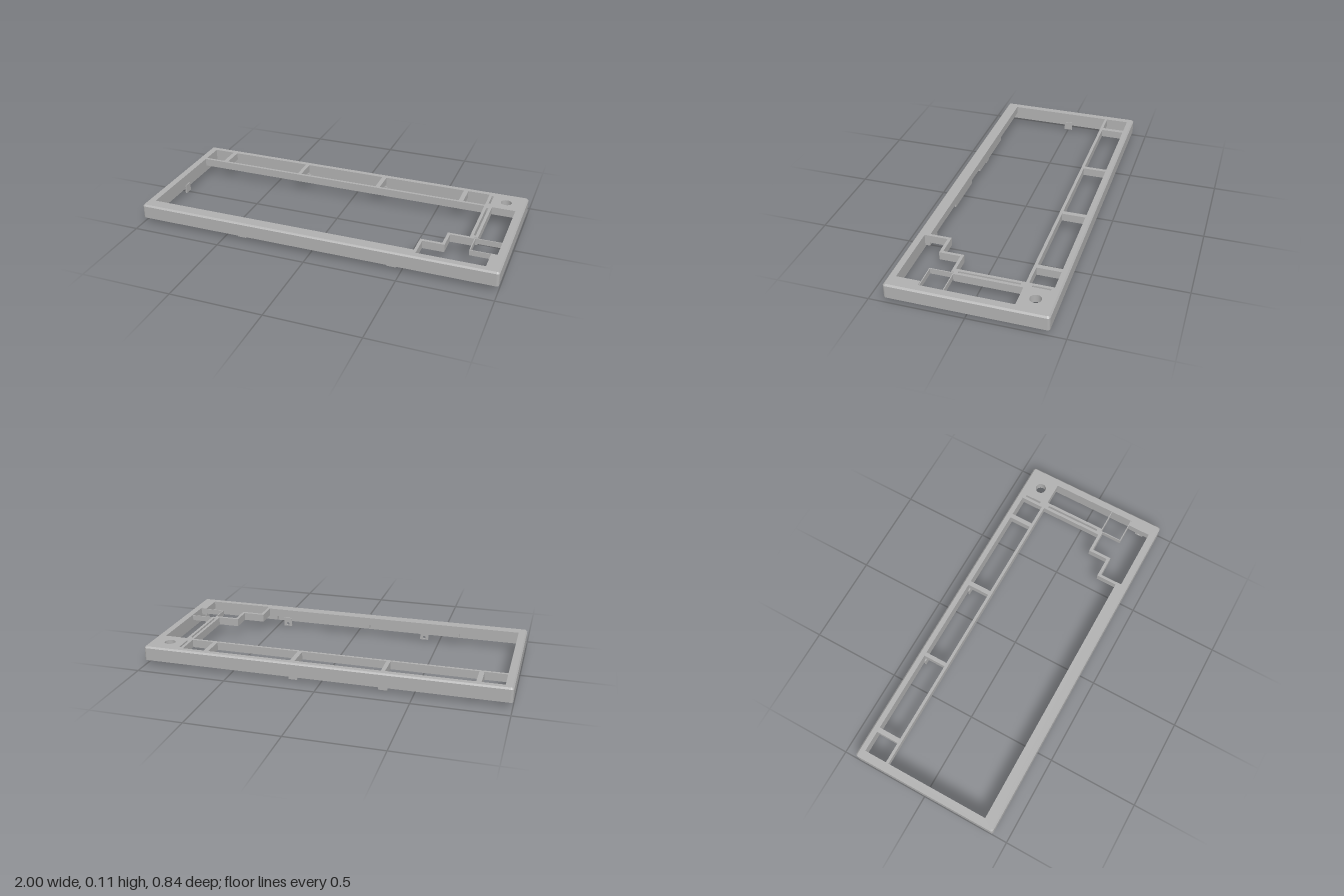
import * as THREE from 'three';

const W = 1, D = 0.418;                       // half width and half depth
const Y0 = 0.03, YEDGE = 0.1, YTOP = 0.109;   // wall bottom, chamfer start, top
const PLATE = 0.065;                          // underside of the top plate

// Plan outlines are given as [x, z]
const rect = (x0, z0, x1, z1) => [[x0, z0], [x1, z0], [x1, z1], [x0, z1]];

// Counter-clockwise (seen from above) rounded outline
function roundedRect(hw, hd, r, n = 5) {
  const pts = [];
  [[1, -1], [-1, -1], [-1, 1], [1, 1]].forEach(([sx, sz], q) => {
    for (let i = 0; i <= n; i++) {
      const a = (q + i / n) * Math.PI / 2;
      pts.push([sx * (hw - r) + r * Math.cos(a), sz * (hd - r) - r * Math.sin(a)]);
    }
  });
  return pts;
}

const toPoints = (pts) => pts.map(([x, z]) => new THREE.Vector2(x, -z));

// Upright prism from a plan outline with holes
function prism(outline, holes, y0, y1) {
  const shape = new THREE.Shape(toPoints(outline));
  holes.forEach((h) => shape.holes.push(new THREE.Path(toPoints(h))));
  const geo = new THREE.ExtrudeGeometry(shape, { depth: y1 - y0, bevelEnabled: false });
  return geo.rotateX(-Math.PI / 2).translate(0, y0, 0);
}

// Sloping band joining two matching loops
function band(lower, yl, upper, yu) {
  const pos = [];
  const n = lower.length;
  for (let i = 0; i < n; i++) {
    const j = (i + 1) % n;
    const a = [lower[i][0], yl, lower[i][1]], b = [lower[j][0], yl, lower[j][1]];
    const c = [upper[j][0], yu, upper[j][1]], d = [upper[i][0], yu, upper[i][1]];
    pos.push(...a, ...b, ...c, ...a, ...c, ...d);
  }
  const geo = new THREE.BufferGeometry();
  geo.setAttribute('position', new THREE.Float32BufferAttribute(pos, 3));
  geo.computeVertexNormals();
  return geo;
}

export function createModel() {
  const group = new THREE.Group();
  const grey = new THREE.MeshStandardMaterial({ color: 0xb0b0b0 });
  grey.name = 'grey';
  const add = (name, geo) => {
    const mesh = new THREE.Mesh(geo, grey);
    mesh.name = name;
    group.add(mesh);
    return mesh;
  };
  const box = (name, x0, y0, z0, x1, y1, z1) =>
    add(name, new THREE.BoxGeometry(x1 - x0, y1 - y0, z1 - z0)
      .translate((x0 + x1) / 2, (y0 + y1) / 2, (z0 + z1) / 2));

  // Outer wall and chamfered rim
  const outer = roundedRect(W, D, 0.014);
  const inner = roundedRect(W - 0.008, D - 0.008, 0.008);
  add('outerWall', prism(outer, [rect(-0.955, -0.382, 0.955, 0.379)], Y0, YEDGE));
  add('rimChamfer', band(outer, YEDGE, inner, YTOP));

  // Top plate openings: function row, main field, slits, knob, right column
  const holes = [[-0.955, -0.837], [-0.81, -0.345], [-0.323, 0.142], [0.168, 0.634], [0.66, 0.783]]
    .map(([a, b]) => rect(a, -0.382, b, -0.254));
  holes.push([
    [-0.955, -0.238], [0.783, -0.238], [0.783, 0.12], [0.666, 0.12],
    [0.666, 0.233], [0.548, 0.233], [0.548, 0.35], [-0.955, 0.35],
  ]);
  holes.push([
    [0.564, 0.377], [0.923, 0.377], [0.923, 0.25], [0.955, 0.25], [0.955, -0.238],
    [0.826, -0.238], [0.826, 0.12], [0.81, 0.12], [0.81, 0.136],
    [0.682, 0.136], [0.682, 0.25], [0.564, 0.25],
  ]);
  holes.push(rect(0.799, -0.37, 0.81, -0.275), rect(0.799, -0.22, 0.81, 0.1));
  holes.push(Array.from({ length: 32 }, (_, i) => {
    const a = i / 32 * Math.PI * 2;
    return [0.89 + 0.03 * Math.cos(a), -0.318 + 0.03 * Math.sin(a)];
  }));
  add('topPlate', prism(inner, holes, PLATE, YTOP));

  // Thin walls round the single key bay on the right
  const t = 0.005, b0 = 0.075, b1 = 0.105;
  box('keyBayBack', 0.81, b0, 0.12, 0.957, b1, 0.12 + t);
  box('keyBayFront', 0.81, b0, 0.25 - t, 0.957, b1, 0.25);
  box('keyBaySide', 0.81, b0, 0.12, 0.81 + t, b1, 0.25);

  // Support blocks under the front shelf
  [[-0.62, -0.22], [-0.08, 0.18], [0.5, 0.56]].forEach(([a, b]) =>
    box('shelfBlock', a, 0.042, 0.352, b, PLATE + 0.005, 0.384));

  // Clip tabs hanging below the wall, some with a round hole
  function tab(name, x, z, turned, pierced) {
    const shape = new THREE.Shape([[-0.024, 0], [0.024, 0], [0.024, 0.05], [-0.024, 0.05]]
      .map((p) => new THREE.Vector2(...p)));
    if (pierced) shape.holes.push(new THREE.Path().absarc(0, 0.014, 0.009, 0, Math.PI * 2, true));
    const geo = new THREE.ExtrudeGeometry(shape, { depth: 0.008, bevelEnabled: false, curveSegments: 10 })
      .translate(0, 0, -0.004);
    const mesh = add(name, geo);
    mesh.position.set(x, 0, z);
    if (turned) mesh.rotation.y = Math.PI / 2;
  }
  [-0.41, 0.44].forEach((x) => tab('frontTab', x, 0.3755, false, true));
  [-0.335, 0.155].forEach((x) => tab('backTab', x, -0.3785, false, false));
  tab('leftTab', 0.952, 0.315, true, true);
  tab('rightTab', -0.954, 0, true, false);

  return group;
}
